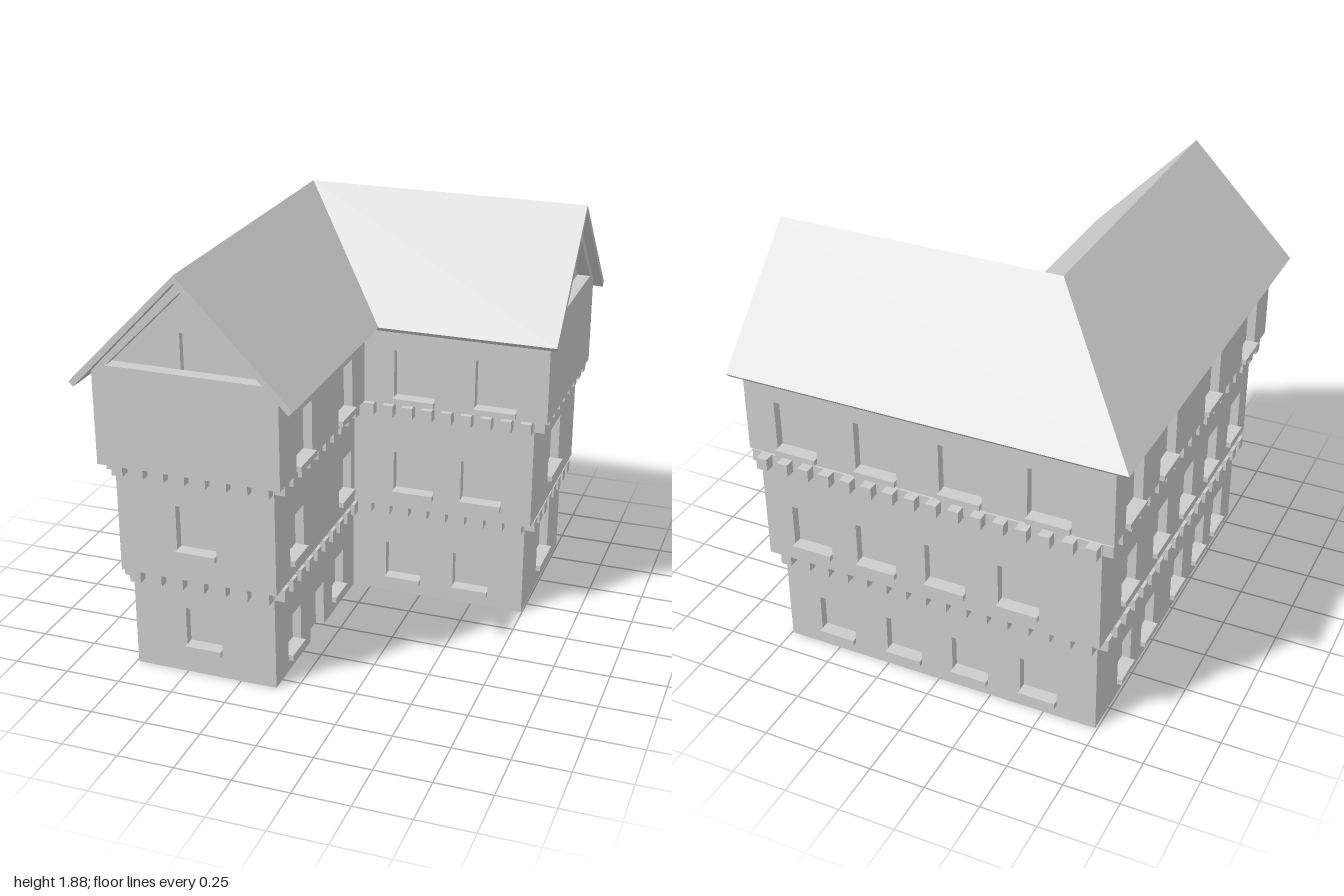
import * as THREE from 'three';

const material = new THREE.MeshStandardMaterial({ color: 0xcccccc, flatShading: true });
const T = 0.04; // depth of wall panels and window recesses

// Storeys: footprint of the L (xi, zi is its inner corner) and windows [centre, width, bottom, top]
const row = (centres, w, y0, y1) => centres.map((c) => [c, w, y0, y1]);
const STOREYS = [
  {
    y0: 0, y1: 0.48, x0: -0.74, x1: 0.745, xi: -0.085, z0: -0.89, z1: 0.82, zi: -0.165, corbels: true,
    front: row([-0.417], 0.165, 0.11, 0.315),
    courtFront: row([0.165, 0.495], 0.17, 0.055, 0.255),
    rightEnd: row([-0.553], 0.225, 0.08, 0.33),
    courtRight: row([0.6, 0.055], 0.15, 0.055, 0.255),
    back: row([0.5, 0.167, -0.153, -0.475], 0.17, 0.055, 0.255),
    left: row([-0.577, -0.303, 0.063, 0.35, 0.61], 0.15, 0.055, 0.255),
    door: [0.325, 0.17, 0.22],
  },
  {
    y0: 0.48, y1: 1.0, x0: -0.77, x1: 0.785, xi: -0.055, z0: -0.945, z1: 0.87, zi: -0.1, corbels: true,
    front: row([-0.412], 0.18, 0.595, 0.825),
    courtFront: row([0.23, 0.55], 0.19, 0.54, 0.757),
    rightEnd: row([-0.525], 0.215, 0.57, 0.82),
    courtRight: row([0.63, 0.03], 0.16, 0.54, 0.757),
    back: row([0.56, 0.25, -0.075, -0.41], 0.185, 0.54, 0.757),
    left: row([-0.64, -0.28, 0.04, 0.36, 0.68], 0.16, 0.54, 0.757),
  },
  {
    y0: 1.0, y1: 1.425, x0: -0.815, x1: 0.845, xi: 0, z0: -0.935, z1: 0.94, zi: -0.08, corbels: false,
    front: [],
    courtFront: row([0.235, 0.61], 0.19, 1.01, 1.26),
    rightEnd: [],
    courtRight: row([0.67, 0.175], 0.18, 1.01, 1.26),
    back: row([0.61, 0.235, -0.15, -0.54], 0.19, 1.01, 1.26),
    left: row([-0.73, -0.36, 0.18, 0.68], 0.18, 1.01, 1.26),
  },
];

function add(parent, name, geometry, x = 0, y = 0, z = 0) {
  const mesh = new THREE.Mesh(geometry, material);
  mesh.name = name;
  mesh.position.set(x, y, z);
  parent.add(mesh);
  return mesh;
}

const shapeOf = (points) => new THREE.Shape(points.map((p) => new THREE.Vector2(...p)));
const extrude = (shape, depth) => new THREE.ExtrudeGeometry(shape, { depth, bevelEnabled: false });
const corbelGeometry = new THREE.BoxGeometry(0.05, 0.055, 0.055);

// One wall in its own frame: s runs to the right along it, +z points out, outer face at d
function buildWall(name, angle, d, sa, sb, sign, windows, storey, door) {
  const wall = new THREE.Group();
  wall.name = name;
  wall.rotation.y = angle;
  const { y0, y1 } = storey;
  const outline = [[sa, y0]];
  if (door) {
    const [c, w, top] = door;
    const l = sign * c - w / 2, r = sign * c + w / 2;
    outline.push([l, y0], [l, top], [r, top], [r, y0]);
  }
  outline.push([sb, y0], [sb, y1], [sa, y1]);
  const shape = shapeOf(outline);
  for (const [c, w, b, t] of windows) {
    const l = sign * c - w / 2, r = sign * c + w / 2;
    shape.holes.push(new THREE.Path([[l, b], [l, t], [r, t], [r, b]].map((p) => new THREE.Vector2(...p))));
    add(wall, 'windowSill', new THREE.BoxGeometry(w, 0.026, T + 0.022), sign * c, b + 0.013, d + (0.022 - T) / 2);
  }
  add(wall, 'wallPanel', extrude(shape, T), 0, 0, d - T);
  // Row of corbels carrying the storey above
  if (storey.corbels) {
    const n = Math.round((sb - sa) / 0.102);
    for (let i = 0; i <= n; i++) {
      const s = THREE.MathUtils.lerp(sa + 0.03, sb - 0.03, i / n);
      add(wall, 'corbel', corbelGeometry, s, y1 - 0.0275, d + 0.0175);
    }
  }
  return wall;
}

function buildStorey(s) {
  const group = new THREE.Group();
  group.name = 'storey';
  const { x0, x1, xi, z0, z1, zi } = s;
  // Inner core closes the backs of the window recesses
  const core = extrude(shapeOf([
    [x0 + T, -z1 + T], [xi - T, -z1 + T], [xi - T, -zi + T],
    [x1 - T, -zi + T], [x1 - T, -z0 - T], [x0 + T, -z0 - T],
  ]), s.y1 - s.y0);
  core.rotateX(-Math.PI / 2);
  add(group, 'core', core, 0, s.y0, 0);
  const q = Math.PI / 2;
  group.add(
    buildWall('frontWall', 0, z1, x0, xi, 1, s.front, s),
    buildWall('courtFrontWall', 0, zi, xi - T, x1, 1, s.courtFront, s),
    buildWall('rightEndWall', q, x1, -zi, -z0, -1, s.rightEnd, s),
    buildWall('courtRightWall', q, xi, -z1, -zi + T, -1, s.courtRight, s, s.door),
    buildWall('backWall', 2 * q, -z0, -x1, -x0, -1, s.back, s),
    buildWall('leftWall', -q, -x0, z0, z1, 1, s.left, s),
  );
  return group;
}

// Roof slab: a gable profile carried along one wing, through the mitre, along the other
function buildRoof() {
  const profile = [[0.488, 1.38], [0, 1.88], [-0.485, 1.38], [-0.465, 1.36], [0, 1.847], [0.468, 1.36]];
  const sections = [
    profile.map(([o, y]) => [-0.4 - o, y, 1]),
    profile.map(([o, y]) => [-0.4 - o, y, -0.505 - o]),
    profile.map(([o, y]) => [0.885, y, -0.505 - o]),
  ];
  const positions = [];
  const quad = (a, b, c, d) => positions.push(...a, ...b, ...c, ...a, ...c, ...d);
  for (let k = 0; k < 2; k++) {
    for (let i = 0; i < 6; i++) {
      const j = (i + 1) % 6;
      quad(sections[k][i], sections[k][j], sections[k + 1][j], sections[k + 1][i]);
    }
  }
  const [a, , b] = sections;
  quad(a[0], a[5], a[4], a[1]);
  quad(a[1], a[4], a[3], a[2]);
  quad(b[1], b[4], b[5], b[0]);
  quad(b[2], b[3], b[4], b[1]);
  const geometry = new THREE.BufferGeometry();
  geometry.setAttribute('position', new THREE.Float32BufferAttribute(positions, 3));
  geometry.computeVertexNormals();
  return geometry;
}

// Gable: framed triangular recess with a small opening at its foot
function buildGable(angle, centre, d) {
  const gable = new THREE.Group();
  gable.name = 'gable';
  gable.rotation.y = angle;
  const depth = 0.06;
  const frame = shapeOf([[-0.405, 1.425], [0.405, 1.425], [0, 1.85]]);
  frame.holes.push(new THREE.Path([[-0.345, 1.445], [0, 1.79], [0.345, 1.445]].map((p) => new THREE.Vector2(...p))));
  add(gable, 'gableFrame', extrude(frame, depth), centre, 0, d - depth);
  const panel = shapeOf([
    [-0.38, 1.43], [-0.038, 1.43], [-0.038, 1.6], [0.038, 1.6], [0.038, 1.43], [0.38, 1.43], [0, 1.82],
  ]);
  add(gable, 'gablePanel', extrude(panel, 0.03), centre, 0, d - depth - 0.03);
  add(gable, 'gableWindow', new THREE.BoxGeometry(0.1, 0.2, 0.01), centre, 1.53, d - depth - 0.034);
  return gable;
}

export function createModel() {
  const house = new THREE.Group();
  house.name = 'house';
  STOREYS.forEach((s) => house.add(buildStorey(s)));
  add(house, 'roof', buildRoof());
  house.add(buildGable(0, -0.405, 0.94), buildGable(Math.PI / 2, 0.508, 0.845));
  return house;
}
